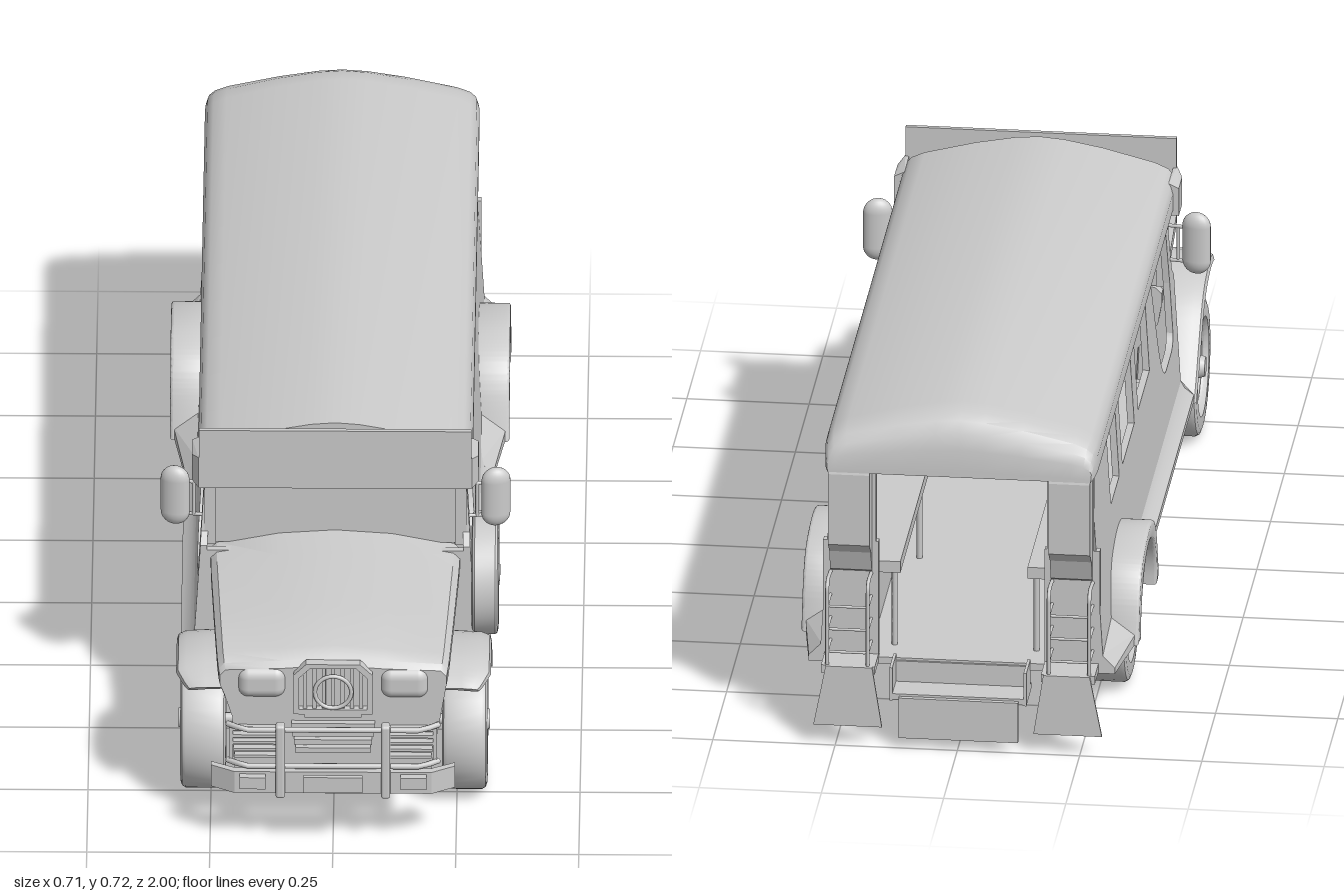
import * as THREE from 'three';
import { toCreasedNormals } from 'three/addons/utils/BufferGeometryUtils.js';
import { RoundedBoxGeometry } from 'three/addons/geometries/RoundedBoxGeometry.js';
import { ConvexGeometry } from 'three/addons/geometries/ConvexGeometry.js';

const mat = new THREE.MeshStandardMaterial({ color: 0xcccccc, side: THREE.DoubleSide });
const V = (x, y, z) => new THREE.Vector3(x, y, z);

function add(parent, name, geo, x = 0, y = 0, z = 0) {
  const m = new THREE.Mesh(geo, mat);
  m.name = name;
  m.position.set(x, y, z);
  parent.add(m);
  return m;
}
// box given by its limits
const box = (p, name, x0, x1, y0, y1, z0, z1) =>
  add(p, name, new THREE.BoxGeometry(x1 - x0, y1 - y0, z1 - z0), (x0 + x1) / 2, (y0 + y1) / 2, (z0 + z1) / 2);

// round bar through points
function bar(p, name, pts, r = 0.004) {
  const path = new THREE.CurvePath();
  for (let i = 1; i < pts.length; i++) path.add(new THREE.LineCurve3(pts[i - 1], pts[i]));
  return add(p, name, new THREE.TubeGeometry(path, (pts.length - 1) * 6, r, 8));
}

// skin over equal-length cross-sections, with optional flat caps
function loft(sections, { closed = false, caps = false } = {}) {
  const n = sections[0].length, pos = sections.flat().flatMap(v => [v.x, v.y, v.z]), idx = [];
  for (let i = 0; i < sections.length - 1; i++)
    for (let j = 0; j < (closed ? n : n - 1); j++) {
      const a = i * n + j, b = i * n + (j + 1) % n;
      idx.push(a, b, a + n, b, b + n, a + n);
    }
  if (caps) for (let j = 1; j < n - 1; j++) {
    const e = (sections.length - 1) * n;
    idx.push(0, j + 1, j, e, e + j, e + j + 1);
  }
  const g = new THREE.BufferGeometry();
  g.setAttribute('position', new THREE.Float32BufferAttribute(pos, 3));
  g.setIndex(idx);
  return toCreasedNormals(g, 0.6);
}

// shape drawn as (z, y), extruded inwards from x = 0
function sideExtrude(shape, depth, bevel = 0) {
  return new THREE.ExtrudeGeometry(shape, {
    depth, curveSegments: 20, bevelEnabled: bevel > 0, bevelSize: bevel, bevelThickness: bevel, bevelSegments: 3,
  }).rotateY(-Math.PI / 2);
}
const polygon = pts => new THREE.Shape(pts.map(p => new THREE.Vector2(...p)));

function wheel(p, name, R, w, x, y, z) {
  const g = new THREE.Group();
  g.name = name;
  g.position.set(x, y, z);
  const prof = [[.66, -.4], [.72, -.5], [.9, -.5], [.97, -.46], [1, -.38], [1, .38], [.97, .46], [.9, .5], [.72, .5], [.66, .4], [.64, .2], [.64, -.4], [.66, -.4]]
    .map(([r, h]) => new THREE.Vector2(r * R, h * w));
  const turn = geo => geo.rotateZ(-Math.PI / 2);
  add(g, 'tyre', toCreasedNormals(turn(new THREE.LatheGeometry(prof, 40)), 0.6));
  add(g, 'rimDisc', turn(new THREE.CylinderGeometry(R * .65, R * .65, w * .3, 32)), w * .05);
  add(g, 'rimRing', new THREE.TorusGeometry(R * .6, R * .04, 8, 32).rotateY(Math.PI / 2), w * .3);
  add(g, 'hubRing', new THREE.TorusGeometry(R * .27, R * .03, 8, 24).rotateY(Math.PI / 2), w * .32);
  add(g, 'hub', turn(new THREE.CylinderGeometry(R * .14, R * .2, w * .3, 16)), w * .4);
  for (let i = 0; i < 14; i++) {
    const a = i / 14 * Math.PI * 2;
    const s = add(g, 'spoke', new THREE.BoxGeometry(w * .14, R * .45, R * .06), w * .25, Math.cos(a) * R * .38, Math.sin(a) * R * .38);
    s.rotation.x = a;
  }
  p.add(g);
}

// everything that exists on both sides, built for +x
function buildSide(s) {
  // side panel with door opening and windows, leaning out towards the bottom
  const panel = polygon([[.5, .15], [.5, .43], [.475, .45], [.45, .6], [-.92, .6], [-.92, .15]]);
  panel.absarc(-.58, .143, .155, Math.PI, 0, true);
  const door = new THREE.Path();
  door.moveTo(.415, .578).lineTo(.43, .44).lineTo(.43, .33).quadraticCurveTo(.42, .305, .38, .305)
    .lineTo(.29, .305).quadraticCurveTo(.23, .31, .195, .41).lineTo(.14, .578);
  panel.holes.push(door);
  for (const [a, b, t] of [[.045, -.16, .583], [-.23, -.445, .583], [-.505, -.655, .57]])
    panel.holes.push(new THREE.Path([[a, .41], [b, .41], [b, t], [a, t]].map(p => new THREE.Vector2(...p))));
  const pg = sideExtrude(panel, .014), pp = pg.attributes.position;
  for (let i = 0; i < pp.count; i++) pp.setX(i, pp.getX(i) + .264 + (.6 - pp.getY(i)) * .06);
  pg.computeVertexNormals();
  add(s, 'sidePanel', pg);

  // flared sill
  add(s, 'sill', loft([.5, -.42].map(z => [V(.285, .2, z), V(.296, .18, z), V(.315, .165, z), V(.315, .15, z), V(.28, .15, z)]), { caps: true }));

  // rear fender arch with low fairings before and behind
  const arch = new THREE.Shape();
  arch.moveTo(-.405, .155);
  arch.splineThru([[-.44, .25], [-.48, .298], [-.55, .32], [-.63, .316], [-.7, .294], [-.74, .24], [-.765, .155]].map(p => new THREE.Vector2(...p)));
  arch.lineTo(-.735, .155);
  arch.absarc(-.58, .15, .15, Math.PI, 0, true);
  add(s, 'rearFender', toCreasedNormals(sideExtrude(arch, .06, .006), .6), .339);
  for (const [z0, z1] of [[-.415, -.25], [-.755, -.92]])
    add(s, 'fenderFairing', new ConvexGeometry([V(.338, .15, z0), V(.338, .172, z0), V(.28, .21, z0), V(.27, .15, z0), V(.313, .15, z1), V(.313, .163, z1), V(.287, .19, z1), V(.27, .15, z1)]));

  // front fender, level at the nose and sweeping down to the sill
  const crown = new THREE.SplineCurve([[.885, .322], [.85, .338], [.79, .351], [.7, .342], [.63, .308], [.57, .245], [.515, .18], [.48, .15]].map(p => new THREE.Vector2(...p)));
  const fender = crown.getPoints(24).map((p, i) => {
    const c = new THREE.Vector2(.7, .14), d = c.clone().sub(p).normalize(), xo = .32 - Math.max(0, (4 - i) * .006);
    const at = (x, o) => V(x, p.y + d.y * o, p.x + d.x * o);
    return [at(.2, -.003), at(.26, 0), at(xo - .02, .002), at(xo - .004, .009), at(xo, .02), at(xo - .008, .024), at(xo - .03, .012), at(.2, .01)];
  });
  add(s, 'frontFender', loft(fender, { closed: true, caps: true }));

  wheel(s, 'frontWheel', .143, .092, .266, .143, .7);
  wheel(s, 'rearWheel', .143, .09, .267, .143, -.58);

  // mirror on two arms
  const mirror = add(s, 'mirror', new THREE.CapsuleGeometry(.03, .074, 8, 20), .326, .522, .452);
  mirror.scale.z = .6;
  mirror.rotation.y = .2;
  for (const y of [.48, .555]) bar(s, 'mirrorArm', [V(.262, y, .46), V(.315, y, .452)]);
  bar(s, 'mirrorPost', [V(.288, .48, .457), V(.288, .555, .457)]);

  // windscreen post and visor wing
  box(s, 'windscreenPost', .243, .266, .42, .6, .455, .475);
  add(s, 'visorWing', new ConvexGeometry([.585, .655].flatMap(y => [V(.27, y, .53), V(.278, y, .53), V(.291, y - (y > .6 ? .01 : 0), .5), V(.291, y - (y > .6 ? .01 : 0), .44), V(.27, y, .44)])));

  // rear corner: panel, bulged upper pillar, grab rails, mud flap
  box(s, 'rearPanel', .17, .283, .15, .42, -.922, -.905);
  box(s, 'rearUpperPanel', .175, .27, .4, .6, -.922, -.905);
  add(s, 'rearPillar', sideExtrude(polygon([[-.915, .6], [-.965, .6], [-.97, .585], [-.97, .43], [-.945, .405], [-.93, .36], [-.915, .35]]), .085), .268);
  for (const x of [.185, .268]) bar(s, 'grabRail', [V(x, .35, -.92), V(x, .355, -.97), V(x, .34, -.985), V(x, .17, -.985)]);
  for (const y of [.2, .25, .3]) bar(s, 'ladderRung', [V(.185, y, -.92), V(.185, y, -.985), V(.268, y, -.985), V(.268, y, -.92)], .003);
  box(s, 'cornerStep', .17, .28, .155, .172, -.99, -.92);
  add(s, 'mudFlap', new ConvexGeometry([-.99, -.996].flatMap(z => [V(.175, .172, z), V(.27, .172, z), V(.295, .042, z), V(.155, .042, z)])));

  // bench with end pole, wheel box below, handrail under the roof
  box(s, 'benchSeat', .13, .265, .335, .36, -.88, .1);
  box(s, 'wheelBox', .19, .265, .16, .3, -.88, .1);
  for (const z of [-.85, -.4, .06]) bar(s, 'benchLeg', [V(.145, .16, z), V(.145, .34, z)], .006);
  bar(s, 'handrail', [V(.12, .6, .1), V(.12, .55, .08), V(.12, .55, -.78), V(.12, .6, -.8)], .006);
  box(s, 'frontSeat', .03, .24, .17, .28, .15, .3);

  // headlamp, lower side slats, bumper guard and lamp
  add(s, 'headlamp', new RoundedBoxGeometry(.102, .072, .05, 6, .0245), .145, .36, .916);
  for (let i = 0; i < 5; i++) box(s, 'sideSlat', .105, .208 - (4 - i) * .002, .192 + i * .016, .198 + i * .016, .925, .945);
  box(s, 'slatEnd', .203, .211, .185, .265, .925, .945);
  add(s, 'bumperGuard', new RoundedBoxGeometry(.019, .17, .025, 3, .006), .107, .203, .972);
  box(s, 'bumperLamp', .137, .19, .143, .17, .96, .988);
  box(s, 'bumperBracket', .1, .12, .15, .17, .85, .96);
}

export function createModel() {
  const g = new THREE.Group();
  g.name = 'passengerJeep';
  for (const k of [1, -1]) {
    const s = new THREE.Group();
    s.name = k > 0 ? 'leftSide' : 'rightSide';
    buildSide(s);
    s.scale.x = k;
    g.add(s);
  }

  // roof: low rounded eaves, crowned middle, closing down at the rear
  const half = [[.272, .59], [.279, .597], [.279, .632], [.274, .65], [.262, .663], [.235, .675], [.13, .702], [.05, .717], [0, .721]];
  const ring = [...half, ...half.slice(0, -1).reverse().map(([x, y]) => [-x, y])];
  const roof = [[.5, 1, 1], [-.88, 1, 1], [-.92, .998, .97], [-.945, .99, .88], [-.96, .98, .7], [-.968, .97, .45], [-.97, .965, .1]]
    .map(([z, w, t]) => ring.map(([x, y]) => V(x * w, .59 + (y - .59) * t, z)));
  add(g, 'roof', loft(roof, { closed: true, caps: true }));
  box(g, 'signBoard', -.277, .277, .585, .72, .522, .532);
  box(g, 'visorFloor', -.27, .27, .585, .592, .44, .53);

  // hood body, ridged in the middle and narrowing to the nose
  const nose = [[.46, .254, .41, .449], [.55, .252, .41, .446], [.75, .243, .407, .436], [.89, .236, .403, .426], [.92, .233, .395, .415], [.93, .23, .385, .402]];
  add(g, 'hood', loft(nose.map(([z, w, sh, pk]) => {
    const h = [[.2, .17], [.205, .28], [w - .008, .335], [w, sh - .03], [w, sh - .008], [w * .95, sh + .005], [w * .45, pk - .008]];
    return [...h.map(([x, y]) => V(x, y, z)), V(0, pk, z), ...h.reverse().map(([x, y]) => V(-x, y, z))];
  }), { closed: true, caps: true }));
  box(g, 'bulkhead', -.272, .272, .15, .42, .485, .5);
  box(g, 'windscreen', -.25, .25, .42, .6, .46, .466);

  // grille: octagonal frame, upright bars, plain ring
  const oct = (x, y0, y1, c) => [[-x, y0], [x, y0], [x, y1 - c], [x - c, y1], [-x + c, y1], [-x, y1 - c]];
  const frame = polygon(oct(.08, .295, .412, .025));
  frame.holes.push(polygon(oct(.069, .306, .402, .022)));
  add(g, 'grilleFrame', new THREE.ExtrudeGeometry(frame, { depth: .02, bevelEnabled: false }), 0, 0, .925);
  for (let i = -3; i <= 3; i++) box(g, 'grilleBar', i * .019 - .004, i * .019 + .004, .3, .4, .925, .94);
  add(g, 'grilleRing', new THREE.TorusGeometry(.037, .0045, 8, 32), 0, .348, .946);
  box(g, 'grilleSill', -.058, .058, .288, .297, .925, .945);
  for (let i = 0; i < 4; i++) box(g, 'lowerSlat', -.076 - i * .003, .076 + i * .003, .203 + i * .019, .215 + i * .019, .925, .943);

  // bumper with swept-back ends, rails and plate
  const bump = polygon([[-.248, .945], [-.2, .972], [.2, .972], [.248, .945], [.248, .93], [.2, .955], [-.2, .955], [-.248, .93]]);
  const bg = new THREE.ExtrudeGeometry(bump, { depth: .05, bevelEnabled: false }).rotateX(Math.PI / 2);
  add(g, 'bumper', bg, 0, .175, 0);
  for (const y of [.185, .27]) bar(g, 'bumperRail', [V(-.215, y, .94), V(-.18, y, .965), V(.18, y, .965), V(.215, y, .94)], .006);
  box(g, 'plate', -.06, .06, .142, .178, .99, 1);
  box(g, 'plateBracket', -.02, .02, .15, .165, .96, .992);

  // floor, axles, nose underside
  box(g, 'floor', -.29, .29, .15, .165, -.92, .5);
  for (const z of [.7, -.58]) bar(g, 'axle', [V(-.26, .143, z), V(.26, .143, z)], .011);
  box(g, 'chassisNose', -.2, .2, .16, .175, .5, .93);

  // rear step with hanging flap
  box(g, 'rearStep', -.14, .14, .102, .115, -.99, -.9);
  box(g, 'rearStepRiser', -.14, .14, .1, .16, -.925, -.915);
  for (const x of [-.14, .134]) box(g, 'rearStepSide', x, x + .006, .1, .172, -.99, -.915);
  box(g, 'rearFlap', -.124, .12, .022, .11, -1, -.99);

  // spare wheel on the left flank
  wheel(g, 'spareWheel', .126, .055, .304, .318, .41);
  return g;
}
